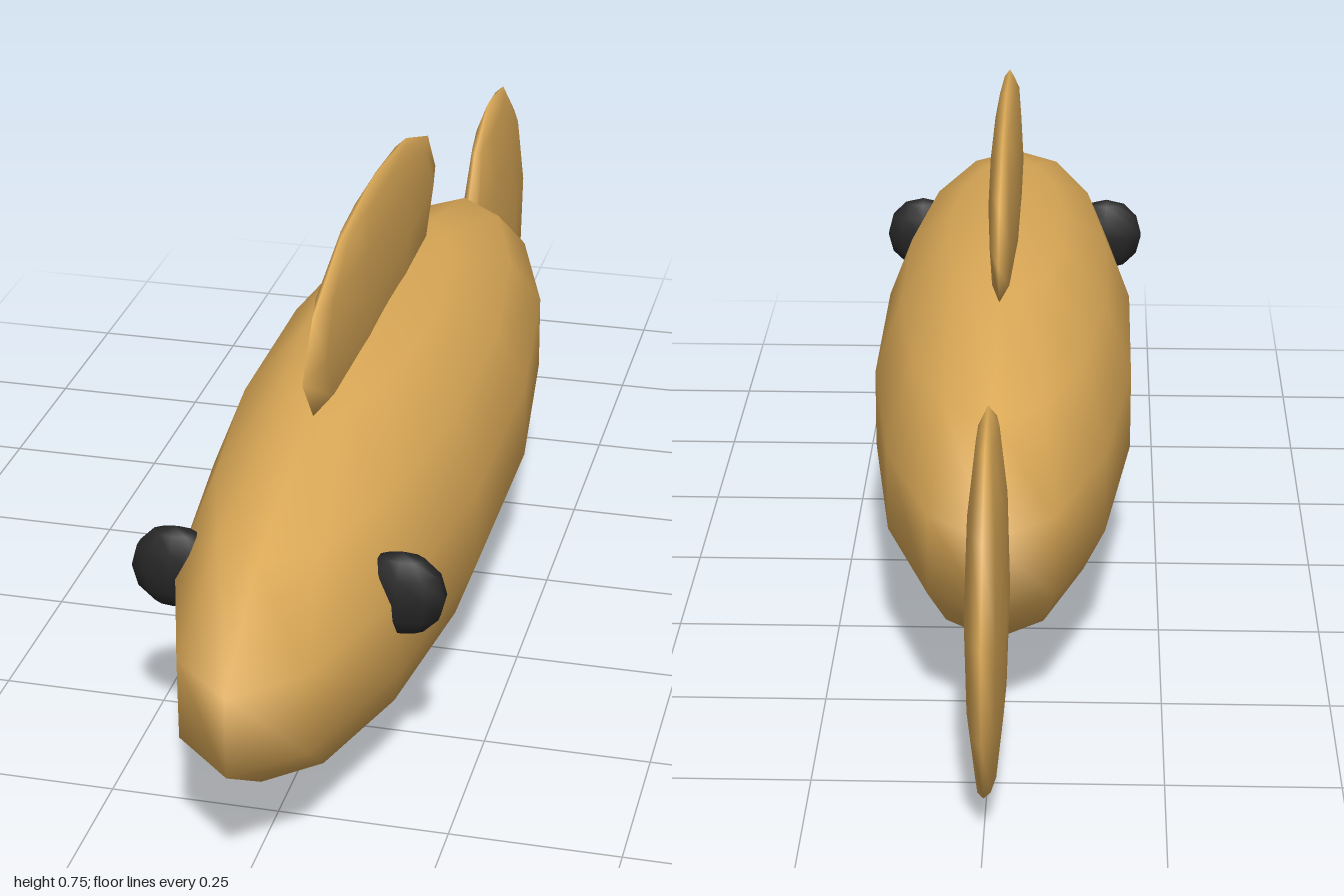
import * as THREE from 'three';

export function createModel() {
  const golden = new THREE.MeshStandardMaterial({ color: 0xdba957 });
  golden.name = 'golden skin';
  const black = new THREE.MeshStandardMaterial({ color: 0x262626 });
  black.name = 'black eye';

  const fish = new THREE.Group();
  fish.name = 'fish';

  // A faceted sphere with a column of corners facing front, stretched to an ellipsoid
  function ellipsoid(name, material, sides, rings, radii, position) {
    const geometry = new THREE.SphereGeometry(1, sides, rings);
    geometry.rotateY(Math.PI / 2);
    const mesh = new THREE.Mesh(geometry, material);
    mesh.name = name;
    mesh.scale.set(...radii);
    mesh.position.set(...position);
    fish.add(mesh);
    return mesh;
  }

  // Long body
  ellipsoid('body', golden, 14, 7, [0.215, 0.277, 0.857], [0, 0.28, 0.165]);

  // Fin along the back
  ellipsoid('dorsalFin', golden, 10, 6, [0.026, 0.15, 0.426], [0, 0.605, 0.16]);

  // Tail, tipped slightly forward
  const tail = ellipsoid('tailFin', golden, 10, 6, [0.031, 0.278, 0.254], [0, 0.283, -0.745]);
  tail.rotation.x = 0.163;

  // Bulging eyes
  for (const [name, side] of [['leftEye', 1], ['rightEye', -1]]) {
    ellipsoid(name, black, 10, 6, [0.066, 0.065, 0.033], [side * 0.165, 0.345, 0.677]);
  }

  return fish;
}
